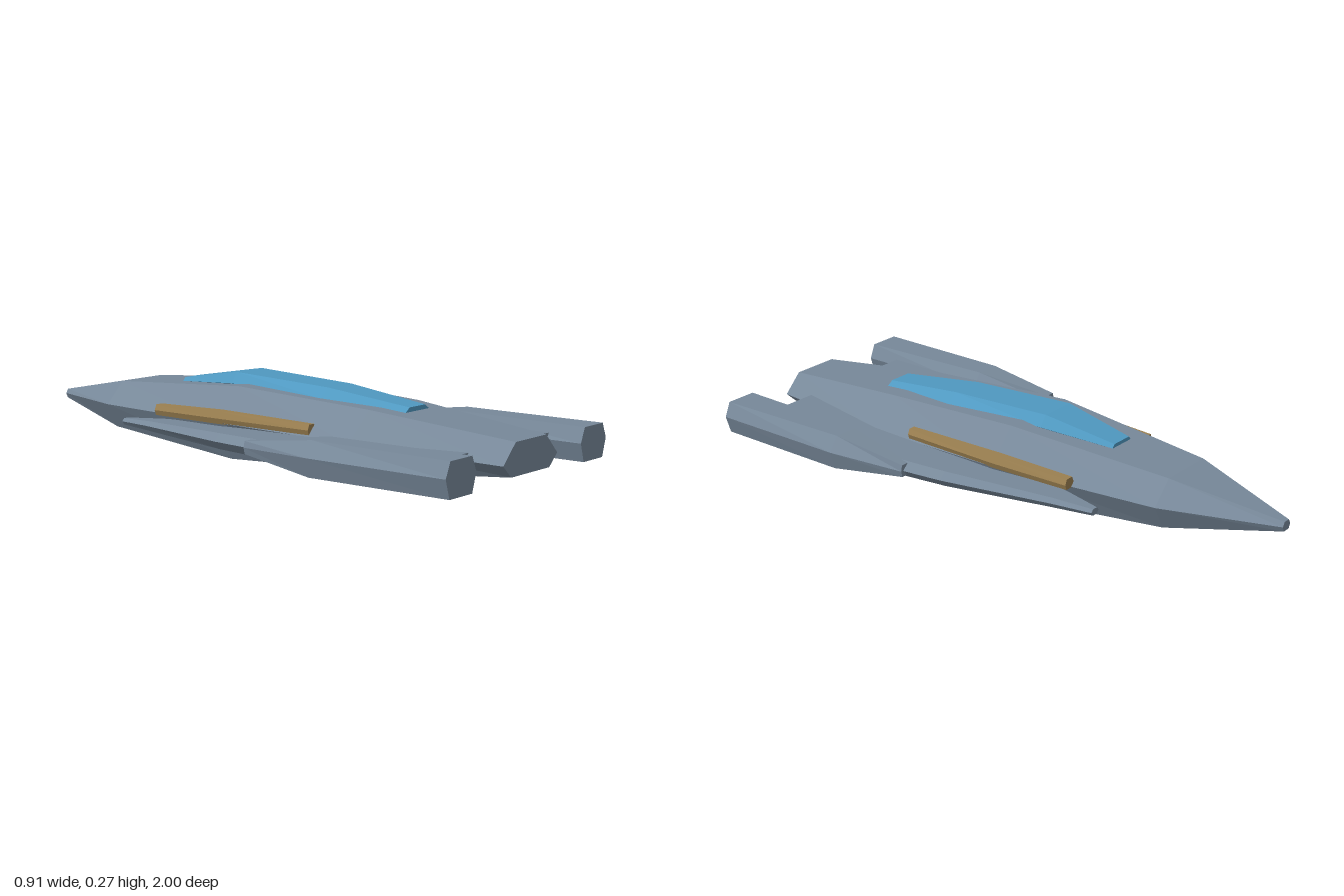
import * as THREE from 'three';

// Loft a faceted six-sided body along z.
// Each section: [z, centreX, topHalf, topY, midHalf, midY, bottomHalf, bottomY]
function loft(sections, side = 1) {
  const rings = sections.map(([z, cx, th, ty, mh, my, bh, by]) =>
    [[mh, my], [th, ty], [-th, ty], [-mh, my], [-bh, by], [bh, by]]
      .map(([x, y]) => [side * cx + x, y, z]));
  const pos = [];
  const tri = (a, b, c) => pos.push(...a, ...b, ...c);
  for (let i = 0; i < rings.length - 1; i++) {
    for (let j = 0; j < 6; j++) {
      const k = (j + 1) % 6;
      const a = rings[i][j], b = rings[i][k], c = rings[i + 1][k], d = rings[i + 1][j];
      tri(a, b, c);
      tri(a, c, d);
    }
  }
  // End caps
  const front = rings[0], back = rings[rings.length - 1];
  for (let j = 1; j < 5; j++) {
    tri(front[0], front[j + 1], front[j]);
    tri(back[0], back[j], back[j + 1]);
  }
  const geo = new THREE.BufferGeometry();
  geo.setAttribute('position', new THREE.Float32BufferAttribute(pos, 3));
  geo.computeVertexNormals();
  return geo;
}

const HULL = [
  [-1, 0, 0.012, 0.127, 0.022, 0.112, 0.014, 0.095],
  [-0.63, 0, 0.098, 0.2, 0.172, 0.125, 0.125, 0.04],
  [-0.04, 0, 0.147, 0.242, 0.25, 0.132, 0.185, 0.003],
  [0.49, 0, 0.133, 0.215, 0.238, 0.122, 0.17, 0.025],
  [1, 0, 0.086, 0.165, 0.153, 0.1, 0.108, 0.06],
];

const CANOPY = [
  [-0.38, 0, 0.04, 0.23, 0.05, 0.218, 0.04, 0.205],
  [-0.12, 0, 0.065, 0.274, 0.092, 0.238, 0.07, 0.22],
  [0.27, 0, 0.06, 0.257, 0.102, 0.225, 0.08, 0.21],
  [0.58, 0, 0.042, 0.221, 0.067, 0.204, 0.06, 0.198],
];

const WING = [
  [-0.46, 0.253, 0.01, 0.105, 0.019, 0.095, 0.01, 0.083],
  [-0.32, 0.25, 0.035, 0.112, 0.05, 0.098, 0.035, 0.079],
  [0.065, 0.27, 0.09, 0.124, 0.115, 0.1, 0.09, 0.072],
  [0.25, 0.275, 0.105, 0.126, 0.132, 0.1, 0.105, 0.07],
  [0.875, 0.255, 0.12, 0.127, 0.135, 0.1, 0.12, 0.07],
];

const POD = [
  [0.21, 0.39, 0.017, 0.122, 0.022, 0.101, 0.017, 0.08],
  [0.49, 0.376, 0.044, 0.158, 0.079, 0.108, 0.06, 0.045],
  [1, 0.374, 0.056, 0.157, 0.078, 0.107, 0.058, 0.045],
];

const TRIM = [
  [-0.335, 0.22, 0.014, 0.162, 0.022, 0.143, 0.016, 0.126],
  [-0.05, 0.231, 0.016, 0.171, 0.025, 0.147, 0.018, 0.128],
  [0.33, 0.222, 0.012, 0.164, 0.02, 0.146, 0.014, 0.128],
];

export function createModel() {
  const ship = new THREE.Group();
  ship.name = 'spaceship';

  const material = (name, color) => {
    const m = new THREE.MeshStandardMaterial({ color });
    m.name = name;
    m.flatShading = true;
    return m;
  };
  const hullGrey = material('hullGrey', 0x778899);
  const canopyBlue = material('canopyBlue', 0x4f98c0);
  const trimGold = material('trimGold', 0x9a7f50);

  const add = (name, sections, mat, side) => {
    const mesh = new THREE.Mesh(loft(sections, side), mat);
    mesh.name = name;
    ship.add(mesh);
  };

  // Central body
  add('hull', HULL, hullGrey);
  add('canopy', CANOPY, canopyBlue);

  // Mirrored side parts
  for (const [label, side] of [['left', 1], ['right', -1]]) {
    add(`${label}Wing`, WING, hullGrey, side);
    add(`${label}EnginePod`, POD, hullGrey, side);
    add(`${label}TrimStrip`, TRIM, trimGold, side);
  }
  return ship;
}
